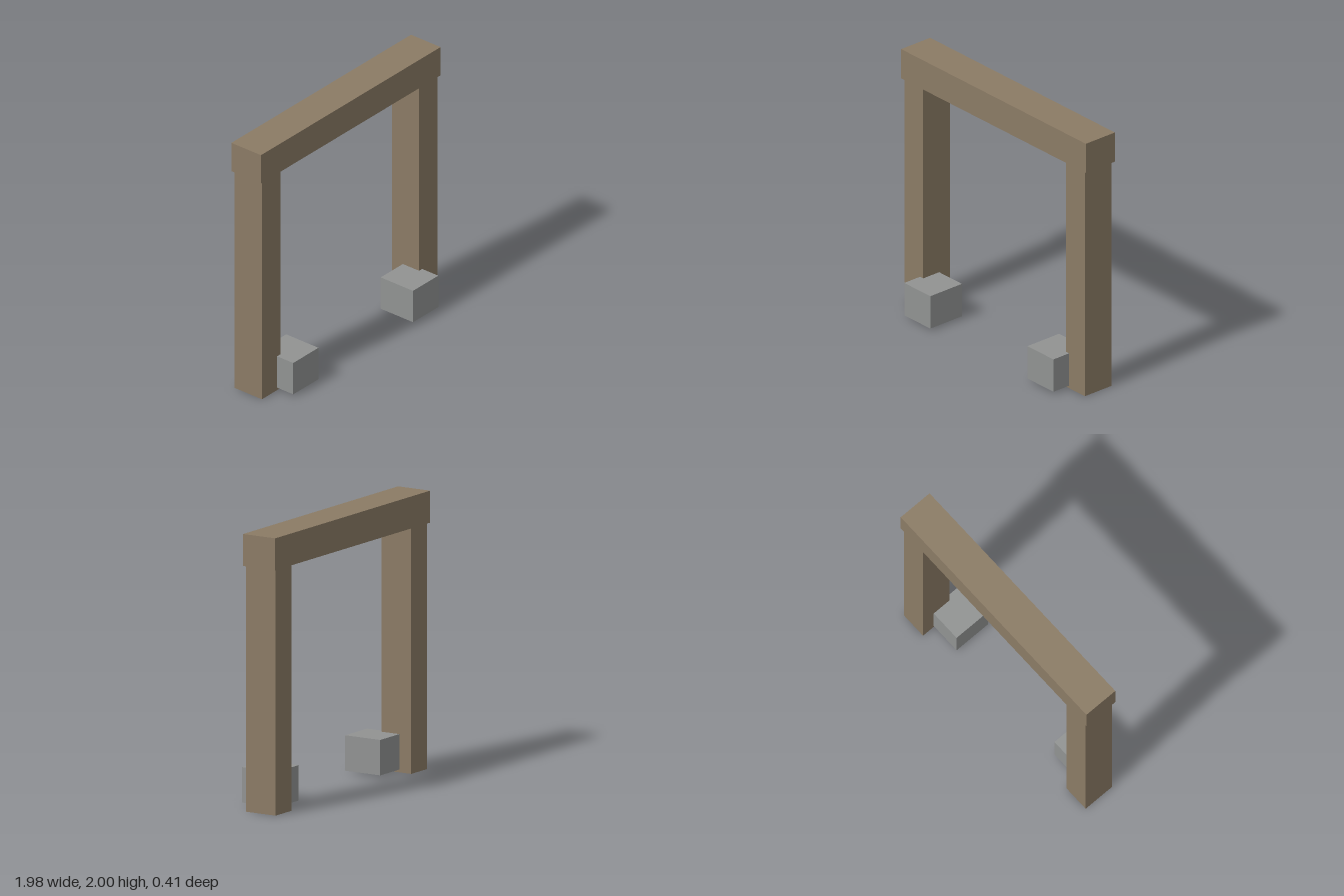
import * as THREE from 'three';

const wood = new THREE.MeshStandardMaterial({ color: 0x8b7b65 });
wood.name = 'weathered wood';
const stone = new THREE.MeshStandardMaterial({ color: 0x919392 });
stone.name = 'grey stone';

// Box given by its minimum and maximum corners
function box(name, material, [x0, y0, z0], [x1, y1, z1]) {
  const mesh = new THREE.Mesh(new THREE.BoxGeometry(x1 - x0, y1 - y0, z1 - z0), material);
  mesh.position.set((x0 + x1) / 2, (y0 + y1) / 2, (z0 + z1) / 2);
  mesh.name = name;
  return mesh;
}

export function createModel() {
  const model = new THREE.Group();
  model.name = 'timberGateway';

  // Lintel across the top, slightly wider and deeper than the posts
  model.add(box('lintel', wood, [-0.988, 1.77, -0.204], [0.988, 2, 0.067]));

  // Upright post and stone block on each side
  for (const [side, s] of [['left', 1], ['right', -1]]) {
    const post = box(side + 'Post', wood, [0.764, 0, -0.192], [0.966, 1.77, 0.057]);
    const block = box(side + 'Block', stone, [0.52, 0.02, -0.092], [0.798, 0.275, 0.204]);
    for (const part of [post, block]) {
      part.position.x *= s;
      model.add(part);
    }
  }
  return model;
}
